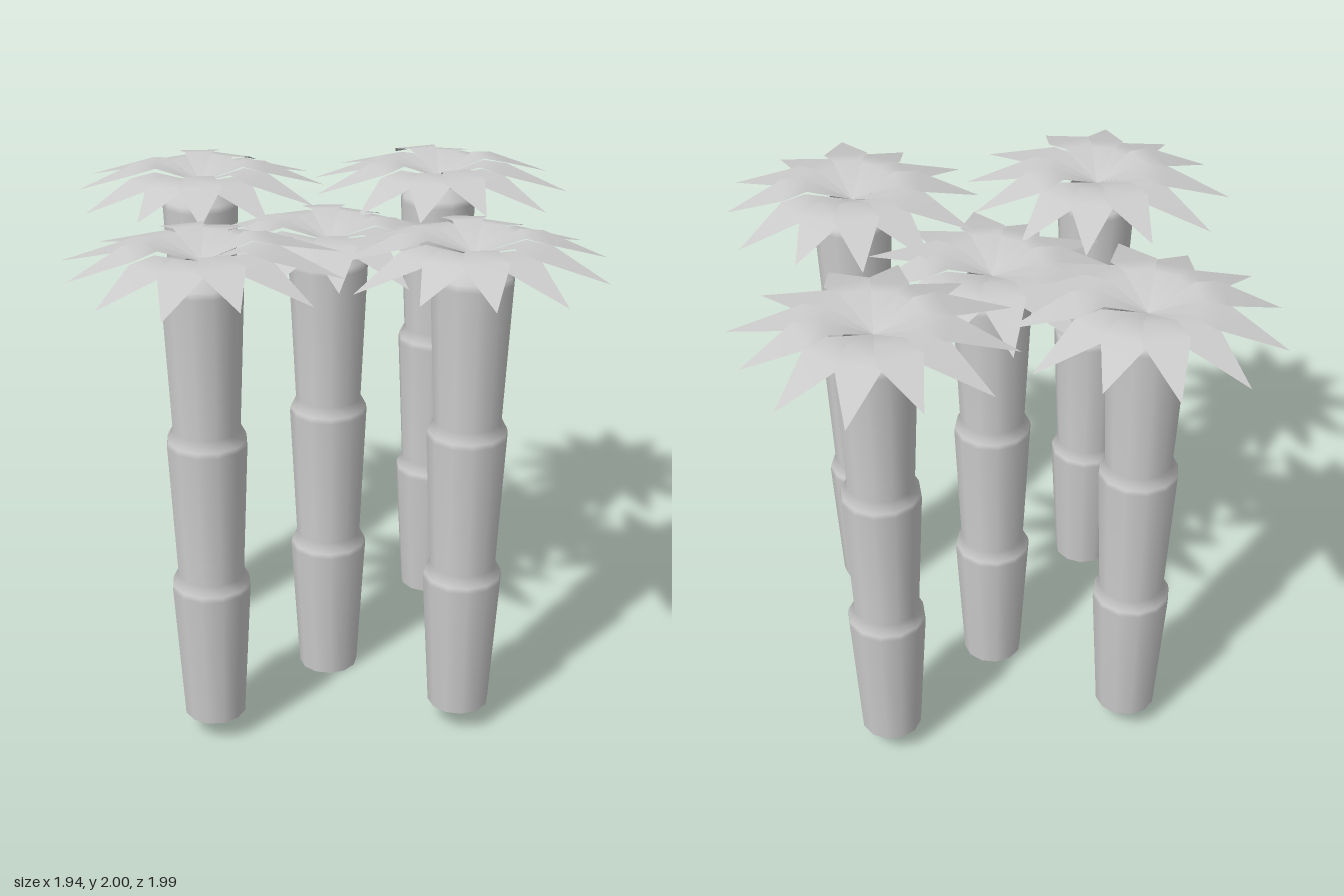
import * as THREE from 'three';

const bark = new THREE.MeshStandardMaterial({ color: 0xcccccc, side: THREE.DoubleSide });
const leafMaterial = new THREE.MeshStandardMaterial({ color: 0xcccccc, side: THREE.DoubleSide });

// Trunk profile: three stacked flaring segments, open at the bottom
const TRUNK = [
  [0.118, 0], [0.15, 0.55], [0.147, 0.57], [0.126, 0.61],
  [0.15, 1.14], [0.147, 1.16], [0.126, 1.20],
  [0.15, 1.74], [0.145, 1.765], [0.11, 1.81],
];
const TRUNK_TOP = 1.81;

// Leaf lengths around the crown, counter-clockwise from +x
const CROWN_A = [0.475, 0.505, 0.475, 0.515, 0.515, 0.505, 0.49, 0.515, 0.478, 0.518, 0.51, 0.503];
const CROWN_B = [0.475, 0.5, 0.517, 0.475, 0.52, 0.507, 0.513, 0.5, 0.51, 0.475, 0.52, 0.513];

// One kite-shaped leaf along +x: rises to a ridge, then droops to a pointed tip
function leafGeometry(length, drop) {
  const rows = [[0.17, 0.095 - drop, 0.056], [0.26, 0.078 - drop, 0.085]];
  const points = [0, 0.02, 0];
  for (const [r, y, w] of rows) points.push(r, y, w, r, y, -w);
  points.push(length, -drop, 0);
  const geometry = new THREE.BufferGeometry();
  geometry.setAttribute('position', new THREE.Float32BufferAttribute(points, 3));
  geometry.setIndex([0, 1, 2, 1, 3, 4, 1, 4, 2, 3, 5, 4]);
  geometry.computeVertexNormals();
  return geometry;
}

function makePalm(lengths) {
  const palm = new THREE.Group();
  const profile = TRUNK.map(([r, y]) => new THREE.Vector2(r, y));
  const trunk = new THREE.Mesh(new THREE.LatheGeometry(profile, 12), bark);
  trunk.name = 'trunk';
  palm.add(trunk);

  // Crown of twelve leaves in slightly staggered layers
  const crown = new THREE.Group();
  crown.name = 'crown';
  crown.position.y = TRUNK_TOP;
  lengths.forEach((length, i) => {
    const drop = [0, 0.02, 0.01][i % 3];
    const leaf = new THREE.Mesh(leafGeometry(length, drop), leafMaterial);
    leaf.name = 'leaf';
    leaf.rotation.y = (i * Math.PI) / 6;
    crown.add(leaf);
  });
  palm.add(crown);
  return palm;
}

export function createModel() {
  const model = new THREE.Group();
  model.name = 'palmCluster';

  // Name, position, crown and turn of each palm; the outer four stand higher
  const turn = THREE.MathUtils.degToRad(15);
  const palms = [
    ['centerPalm', 0, 0, 0, CROWN_A, 0],
    ['frontLeftPalm', 0.475, 0.095, 0.475, CROWN_A, 0],
    ['backRightPalm', -0.475, 0.095, -0.475, CROWN_A, Math.PI],
    ['backLeftPalm', 0.475, 0.095, -0.475, CROWN_B, turn],
    ['frontRightPalm', -0.475, 0.095, 0.475, CROWN_B, turn + Math.PI],
  ];
  for (const [name, x, y, z, lengths, angle] of palms) {
    const palm = makePalm(lengths);
    palm.name = name;
    palm.position.set(x, y, z);
    palm.rotation.y = angle;
    model.add(palm);
  }
  return model;
}
